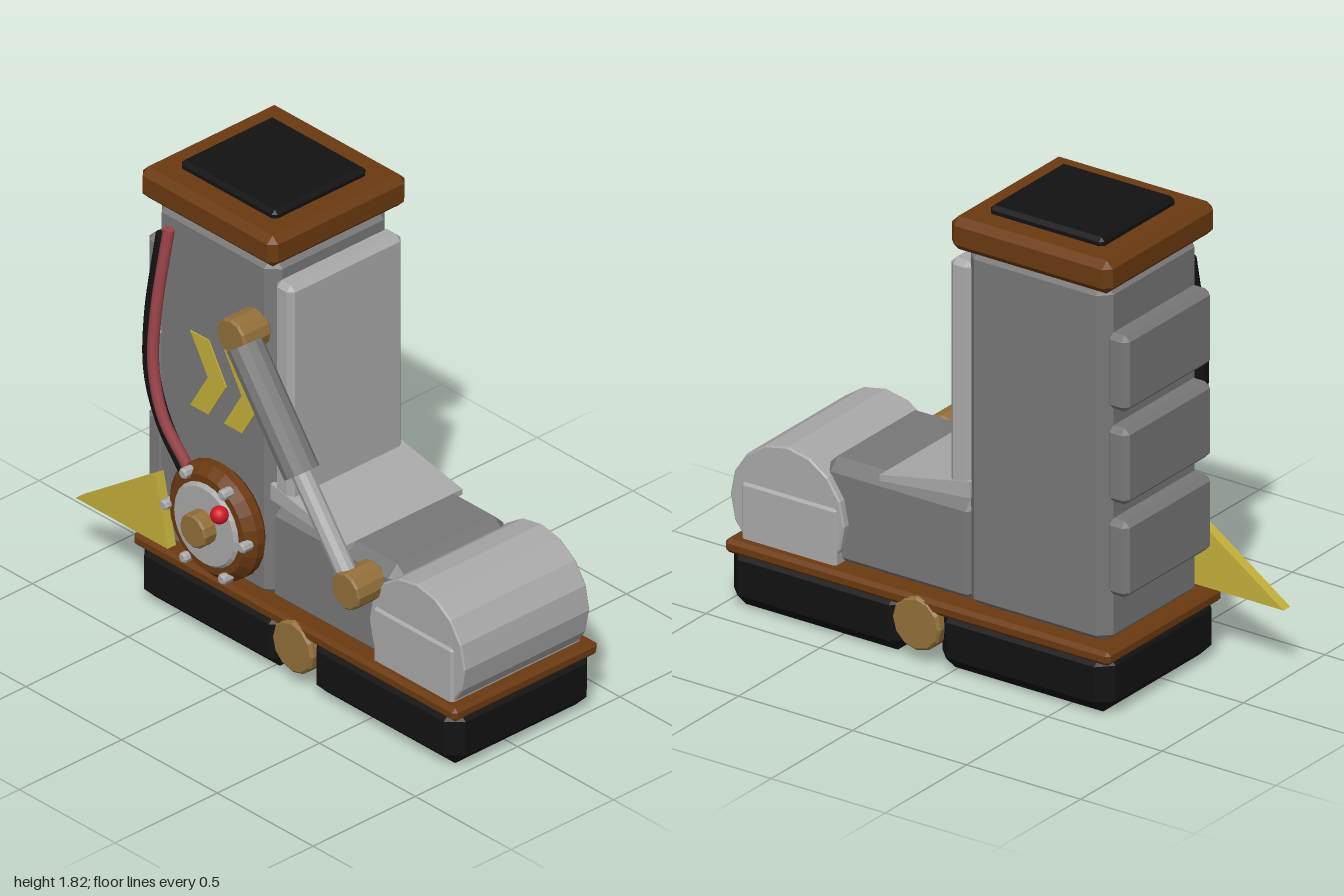
import * as THREE from 'three';
import { ConvexGeometry } from 'three/addons/geometries/ConvexGeometry.js';

const mat = (name, color) => {
  const m = new THREE.MeshStandardMaterial({ color });
  m.name = name;
  return m;
};

export function createModel() {
  const model = new THREE.Group();
  model.name = 'mechanicalBoot';

  const steel = mat('steel grey', 0x787878);
  const light = mat('light grey', 0xa9a9a9);
  const brown = mat('copper brown', 0x6b3a10);
  const black = mat('rubber black', 0x121212);
  const gold = mat('brass', 0x93703a);
  const yellow = mat('warning yellow', 0xc4b03a);
  const red = mat('signal red', 0xd01525);
  const hoseRed = mat('hose red', 0x9c444a);

  const add = (name, geometry, material, parent = model) => {
    const mesh = new THREE.Mesh(geometry, material);
    mesh.name = name;
    parent.add(mesh);
    return mesh;
  };
  const group = (name) => {
    const g = new THREE.Group();
    g.name = name;
    model.add(g);
    return g;
  };
  const flat = (geometry) => {
    const g = geometry.toNonIndexed();
    g.computeVertexNormals();
    return g;
  };

  // Box between two corners with every edge chamfered by b
  const chamferBox = (name, x, y, z, b, material, parent) => {
    const half = [x, y, z].map((r) => (r[1] - r[0]) / 2);
    const points = [];
    for (const sx of [-1, 1]) for (const sy of [-1, 1]) for (const sz of [-1, 1]) {
      for (let axis = 0; axis < 3; axis++) {
        const p = half.map((h, i) => (i === axis ? h : h - b));
        points.push(new THREE.Vector3(p[0] * sx, p[1] * sy, p[2] * sz));
      }
    }
    const mesh = add(name, new ConvexGeometry(points), material, parent);
    mesh.position.set((x[0] + x[1]) / 2, (y[0] + y[1]) / 2, (z[0] + z[1]) / 2);
    return mesh;
  };

  // Faceted disc along z with chamfered rims
  const disc = (name, x, y, z0, z1, r, b, sides, material, parent) => {
    const profile = [[0, z0], [r - b, z0], [r, z0 + b], [r, z1 - b], [r - b, z1], [0, z1]]
      .map(([px, py]) => new THREE.Vector2(px, py));
    const geometry = flat(new THREE.LatheGeometry(profile, sides).rotateX(Math.PI / 2));
    const mesh = add(name, geometry, material, parent);
    mesh.position.set(x, y, 0);
    return mesh;
  };

  // Cylinder between two points
  const rod = (name, a, b, r, sides, material, parent) => {
    const from = new THREE.Vector3(...a), to = new THREE.Vector3(...b);
    const dir = to.clone().sub(from);
    const mesh = add(name, flat(new THREE.CylinderGeometry(r, r, dir.length(), sides)), material, parent);
    mesh.position.copy(from).add(to).multiplyScalar(0.5);
    mesh.quaternion.setFromUnitVectors(new THREE.Vector3(0, 1, 0), dir.normalize());
    return mesh;
  };

  // Extruded outline in the xy plane
  const plate = (name, outline, z0, z1, material, parent) => {
    const shape = new THREE.Shape(outline.map(([x, y]) => new THREE.Vector2(x, y)));
    const geometry = new THREE.ExtrudeGeometry(shape, { depth: z1 - z0, bevelEnabled: false });
    geometry.translate(0, 0, z0);
    return add(name, geometry, material, parent);
  };

  // Sole: two treads, a welt and the hinge between the treads
  const sole = group('sole');
  chamferBox('heelTread', [-0.69, 0.07], [0, 0.25], [-0.405, 0.295], 0.055, black, sole);
  chamferBox('toeTread', [0.21, 0.985], [0, 0.25], [-0.405, 0.295], 0.055, black, sole);
  chamferBox('welt', [-0.7, 0.988], [0.21, 0.265], [-0.41, 0.295], 0.015, brown, sole);
  disc('soleHinge', 0.142, 0.158, -0.415, 0.302, 0.106, 0.01, 12, gold, sole);

  // Foot: instep, sloped tongue and rounded toe cap
  const foot = group('foot');
  chamferBox('instep', [-0.06, 0.62], [0.24, 0.655], [-0.33, 0.235], 0.045, steel, foot);
  plate('tongue', [[-0.04, 0.67], [0.36, 0.632], [0.36, 0.655], [0.16, 0.695], [-0.04, 0.735]],
    -0.33, 0.235, light, foot);
  disc('toeCap', 0.745, 0.42, -0.36, 0.255, 0.25, 0.006, 16, light, foot);
  chamferBox('toeSidePanels', [0.525, 0.94], [0.25, 0.485], [-0.37, 0.265], 0.01, light, foot);

  // Shaft with shin plate, collar and calf plates
  const shaft = group('shaft');
  chamferBox('shaftBody', [-0.645, -0.018], [0.24, 1.67], [-0.345, 0.243], 0.046, steel, shaft);
  chamferBox('shinPlate', [-0.03, 0.063], [0.68, 1.59], [-0.325, 0.232], 0.022, light, shaft);
  chamferBox('collar', [-0.69, 0.015], [1.66, 1.79], [-0.395, 0.277], 0.028, brown, shaft);
  chamferBox('collarPad', [-0.585, -0.085], [1.77, 1.82], [-0.285, 0.172], 0.015, black, shaft);
  for (let i = 0; i < 3; i++) {
    const y = 0.445 + i * 0.366;
    chamferBox('calfPlate', [-0.715, -0.62], [y, y + 0.3], [-0.32, 0.215], 0.022, steel, shaft);
  }

  // Painted chevrons
  for (const dx of [0, 0.176]) {
    plate('chevron', [[-0.445, 0.89], [-0.35, 0.89], [-0.258, 1.045], [-0.35, 1.2], [-0.445, 1.2], [-0.353, 1.045]]
      .map(([x, y]) => [x + dx, y]), 0.24, 0.248, yellow, shaft);
  }

  // Ankle wheel with ring of bolts, hub and indicator
  const wheel = group('ankleWheel');
  const [cx, cy] = [-0.265, 0.505];
  disc('wheelRim', cx, cy, 0.23, 0.335, 0.23, 0.035, 24, brown, wheel);
  disc('wheelFace', cx, cy, 0.3, 0.35, 0.167, 0.012, 24, light, wheel);
  disc('wheelHub', cx, cy, 0.33, 0.408, 0.068, 0.008, 12, gold, wheel);
  for (let i = 0; i < 6; i++) {
    const a = (i * Math.PI) / 3;
    disc('wheelBolt', cx + Math.cos(a) * 0.203, cy + Math.sin(a) * 0.203, 0.31, 0.362, 0.021, 0.006, 8, light, wheel);
  }
  add('indicator', new THREE.SphereGeometry(0.034, 16, 12), red, wheel).position.set(-0.157, 0.61, 0.375);

  // Heel spur
  plate('heelSpur', [[-1, 0.27], [-0.52, 0.27], [-0.585, 0.555]], 0.247, 0.288, yellow);

  // Piston linking shaft and instep
  const piston = group('piston');
  disc('upperPivot', -0.11, 1.365, 0.23, 0.365, 0.075, 0.008, 12, gold, piston);
  disc('lowerPivot', 0.485, 0.57, 0.22, 0.365, 0.075, 0.008, 12, gold, piston);
  rod('pistonBarrel', [-0.083, 1.335, 0.322], [0.217, 0.93, 0.322], 0.069, 12, steel, piston);
  rod('pistonRod', [0.2, 0.95, 0.322], [0.475, 0.585, 0.322], 0.039, 10, light, piston);

  // Hoses from the shaft down to the ankle wheel
  const hose = (name, points, r, material) => {
    const curve = new THREE.CatmullRomCurve3(points.map((p) => new THREE.Vector3(...p)));
    const parent = group(name);
    add(name + 'Tube', new THREE.TubeGeometry(curve, 32, r, 10), material, parent);
    for (const t of [0, 1]) {
      const cap = add(name + 'End', new THREE.CircleGeometry(r, 10), material, parent);
      cap.position.copy(curve.getPointAt(t));
      const out = curve.getTangentAt(t).multiplyScalar(t ? 1 : -1);
      cap.quaternion.setFromUnitVectors(new THREE.Vector3(0, 0, 1), out);
    }
  };
  hose('blackHose', [[-0.58, 1.545, 0.25], [-0.605, 1.2, 0.285], [-0.59, 0.98, 0.3], [-0.525, 0.8, 0.3], [-0.435, 0.64, 0.28]], 0.03, black);
  hose('redHose', [[-0.538, 1.59, 0.265], [-0.563, 1.25, 0.305], [-0.56, 1.03, 0.32], [-0.51, 0.84, 0.32], [-0.42, 0.67, 0.29]], 0.022, hoseRed);

  return model;
}
